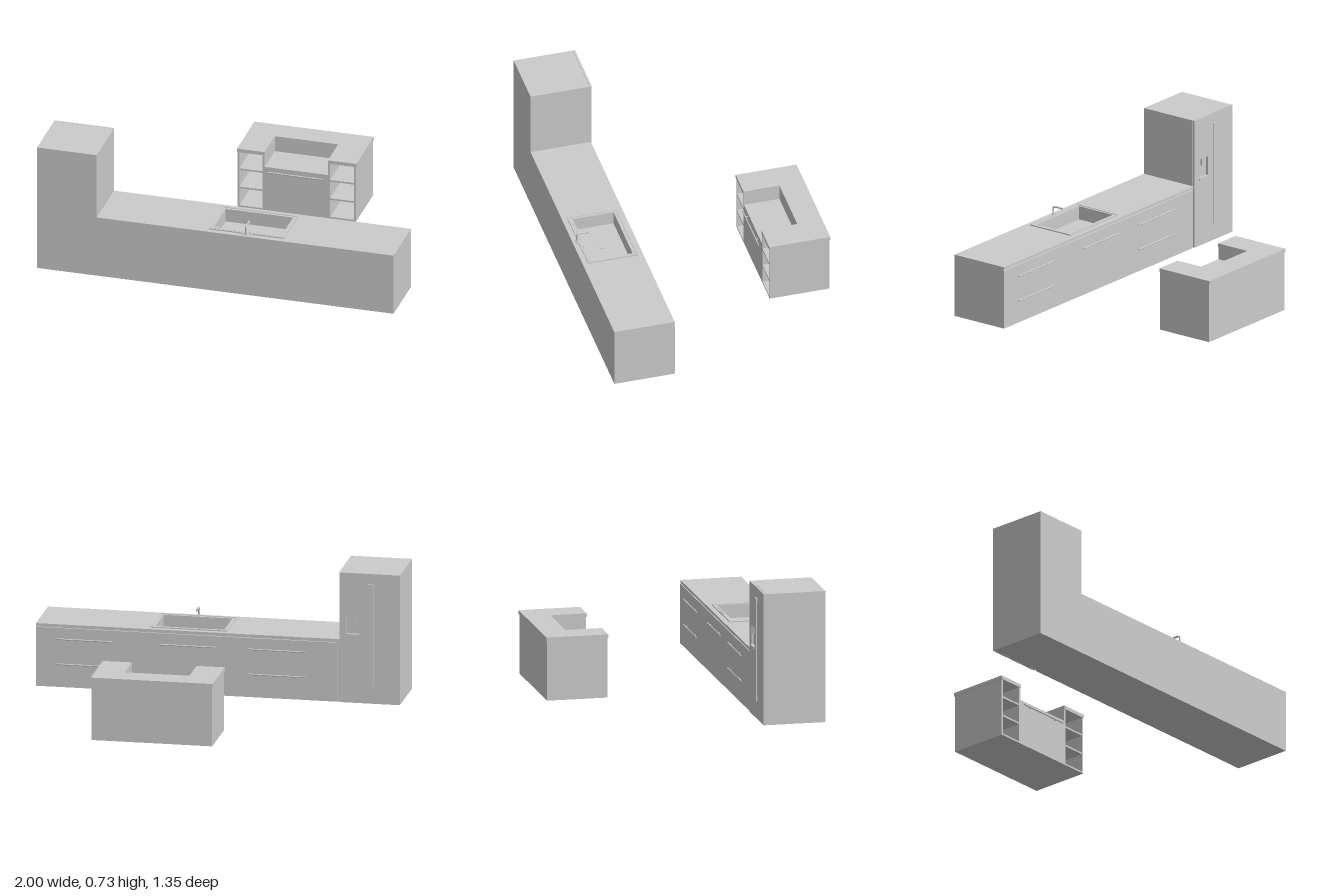
import * as THREE from 'three';

const mat = new THREE.MeshStandardMaterial({ color: 0xcccccc });

function add(parent, name, geometry) {
  const mesh = new THREE.Mesh(geometry, mat);
  mesh.name = name;
  parent.add(mesh);
  return mesh;
}

// Box given by its limits on each axis
function box(parent, name, [x0, x1], [y0, y1], [z0, z1]) {
  const mesh = add(parent, name, new THREE.BoxGeometry(x1 - x0, y1 - y0, z1 - z0));
  mesh.position.set((x0 + x1) / 2, (y0 + y1) / 2, (z0 + z1) / 2);
  return mesh;
}

function group(parent, name) {
  const g = new THREE.Group();
  g.name = name;
  parent.add(g);
  return g;
}

const rect = (x0, x1, z0, z1) => [[x0, z0], [x1, z0], [x1, z1], [x0, z1]];
const toPoints = (list) => list.map(([x, z]) => new THREE.Vector2(x, z));

// Horizontal plate with an x,z outline and optional hole, between two heights
function plate(parent, name, outline, hole, y0, y1) {
  const shape = new THREE.Shape(toPoints(outline));
  if (hole) shape.holes.push(new THREE.Path(toPoints(hole)));
  const geo = new THREE.ExtrudeGeometry(shape, { depth: y1 - y0, bevelEnabled: false });
  geo.rotateX(Math.PI / 2);
  const mesh = add(parent, name, geo);
  mesh.position.y = y1;
  return mesh;
}

// Drawer handle: long thin bar on two posts, reaching from face to bar in z
function barHandle(parent, x, y, zBar, zFace) {
  const g = group(parent, 'drawerHandle');
  const bar = add(g, 'handleBar', new THREE.CylinderGeometry(0.004, 0.004, 0.314, 12));
  bar.rotation.z = Math.PI / 2;
  bar.position.set(x, y, zBar);
  for (const side of [-1, 1]) {
    const post = add(g, 'handlePost', new THREE.CylinderGeometry(0.003, 0.003, Math.abs(zFace - zBar), 10));
    post.rotation.x = Math.PI / 2;
    post.position.set(x + side * 0.103, y, (zBar + zFace) / 2);
  }
}

function buildCounter(root) {
  const g = group(root, 'counter');
  const basin = rect(-0.03, 0.36, 0.385, 0.625);
  box(g, 'cabinetBase', [-0.665, 1], [0, 0.275], [0.345, 0.675]);
  plate(g, 'cabinetTop', rect(-0.665, 1, 0.345, 0.675), basin, 0.275, 0.335);
  plate(g, 'worktop', rect(-0.665, 1, 0.337, 0.675), basin, 0.335, 0.35);
  box(g, 'drawerFronts', [-0.655, 1], [0, 0.33], [0.336, 0.345]);
  for (const x of [-0.325, 0.162, 0.727]) {
    barHandle(g, x, 0.27, 0.326, 0.337);
    if (x !== 0.162) barHandle(g, x, 0.13, 0.326, 0.337);
  }

  // Sink: outer rim with a bulge behind the tap, raised inner lip and liner
  const s = group(g, 'sink');
  const bulge = [];
  for (let i = 0; i <= 12; i++) {
    const t = i / 12;
    bulge.push([0.215 - 0.1 * t, 0.645 + 0.015 * Math.sin(Math.PI * t) ** 2]);
  }
  const rim = [[-0.045, 0.367], [0.376, 0.367], [0.376, 0.645], ...bulge, [-0.045, 0.645]];
  plate(s, 'sinkRim', rim, basin, 0.35, 0.353);
  plate(s, 'sinkEdge', rect(-0.045, 0.376, 0.367, 0.645), rect(-0.038, 0.369, 0.374, 0.638), 0.353, 0.356);
  plate(s, 'basinWall', rect(-0.035, 0.365, 0.38, 0.63), rect(-0.024, 0.354, 0.391, 0.619), 0.275, 0.354);
  box(s, 'basinFloor', [-0.03, 0.36], [0.273, 0.279], [0.385, 0.625]);
  const drain = add(s, 'drain', new THREE.CylinderGeometry(0.016, 0.016, 0.002, 24));
  drain.position.set(0.165, 0.28, 0.505);

  // Tap: upright pipe bending toward the basin
  const path = new THREE.CurvePath();
  const v = (y, z) => new THREE.Vector3(0.165, y, z);
  path.add(new THREE.LineCurve3(v(0.35, 0.649), v(0.385, 0.649)));
  path.add(new THREE.QuadraticBezierCurve3(v(0.385, 0.649), v(0.4, 0.649), v(0.4, 0.634)));
  path.add(new THREE.LineCurve3(v(0.4, 0.634), v(0.4, 0.59)));
  add(s, 'tapPipe', new THREE.TubeGeometry(path, 32, 0.005, 12));
  const spout = add(s, 'tapSpout', new THREE.CylinderGeometry(0.0055, 0.0055, 0.012, 12));
  spout.position.set(0.165, 0.398, 0.591);
  const base = add(s, 'tapBase', new THREE.CylinderGeometry(0.008, 0.008, 0.006, 20));
  base.position.set(0.165, 0.355, 0.649);
}

function buildFridge(root) {
  const g = group(root, 'fridge');
  box(g, 'fridgeBody', [-1, -0.665], [0, 0.725], [0.345, 0.675]);
  // Door as a frame around the dispenser recess
  const [x0, x1, y0, y1] = [-0.785, -0.708, 0.375, 0.525];
  const door = new THREE.Shape(toPoints(rect(-1, -0.668, 0, 0.725)));
  door.holes.push(new THREE.Path(toPoints(rect(x0, x1, y0, y1))));
  const mesh = add(g, 'fridgeDoor', new THREE.ExtrudeGeometry(door, { depth: 0.012, bevelEnabled: false }));
  mesh.position.z = 0.332;
  box(g, 'dispenserPanel', [x0, x1], [0.49, y1], [0.332, 0.345]);
  box(g, 'dispenserNozzle', [-0.757, -0.736], [0.45, 0.49], [0.333, 0.345]);
  box(g, 'dispenserTray', [x0, x1], [y0, 0.384], [0.327, 0.345]);
  box(g, 'doorHandle', [-0.855, -0.823], [0.1, 0.67], [0.323, 0.328]);
  for (const y of [0.1, 0.645]) {
    box(g, 'doorHandleMount', [-0.85, -0.828], [y, y + 0.025], [0.328, 0.334]);
  }
}

function buildIsland(root) {
  const g = group(root, 'island');
  const top = [[-0.17, -0.675], [0.5, -0.675], [0.5, -0.334], [0.34, -0.334],
    [0.34, -0.535], [-0.015, -0.535], [-0.015, -0.334], [-0.17, -0.334]];
  plate(g, 'islandTop', top, null, 0.33, 0.35);
  box(g, 'islandBack', [-0.167, 0.497], [0, 0.33], [-0.671, -0.535]);
  box(g, 'islandDrawer', [-0.015, 0.34], [0, 0.26], [-0.535, -0.337]);
  barHandle(g, 0.162, 0.235, -0.324, -0.337);

  // Open shelves at both ends
  const z = [-0.535, -0.337];
  for (const [outer, inner] of [[-0.167, -0.015], [0.497, 0.34]]) {
    const s = group(g, 'openShelves');
    const dir = Math.sign(inner - outer);
    const span = (a, b) => [Math.min(a, b), Math.max(a, b)];
    box(s, 'outerSide', span(outer, outer + dir * 0.01), [0, 0.33], z);
    box(s, 'innerSide', span(inner, inner - dir * 0.012), [0, 0.33], z);
    for (const y of [0, 0.112, 0.222]) {
      box(s, 'shelf', span(outer + dir * 0.01, inner - dir * 0.012), [y, y + 0.01], z);
    }
  }
}

export function createModel() {
  const root = new THREE.Group();
  root.name = 'kitchen';
  buildCounter(root);
  buildFridge(root);
  buildIsland(root);
  return root;
}
